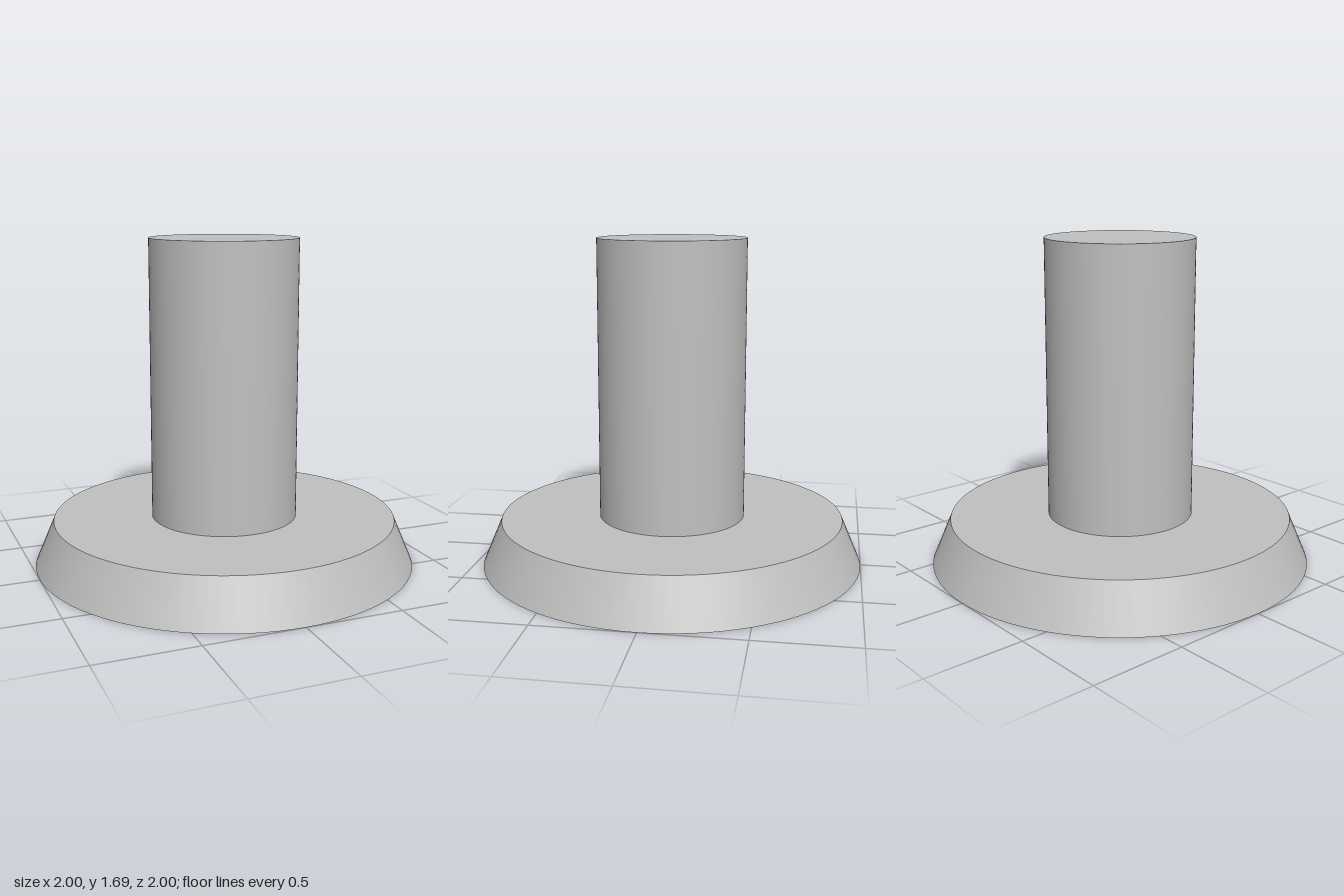
import * as THREE from 'three';

export function createModel() {
  const model = new THREE.Group();
  const grey = new THREE.MeshStandardMaterial({ color: 0xc0c0c0 });
  grey.name = 'lightGrey';

  // Adds a round part standing between two heights
  const addRound = (name, topRadius, bottomRadius, y0, y1) => {
    const geometry = new THREE.CylinderGeometry(topRadius, bottomRadius, y1 - y0, 96);
    const mesh = new THREE.Mesh(geometry, grey);
    mesh.name = name;
    mesh.position.y = (y0 + y1) / 2;
    model.add(mesh);
  };

  // Tapered disc foot
  addRound('base', 0.9, 1, 0, 0.235);
  // Upright post on the foot
  addRound('post', 0.383, 0.383, 0.235, 1.692);

  return model;
}
